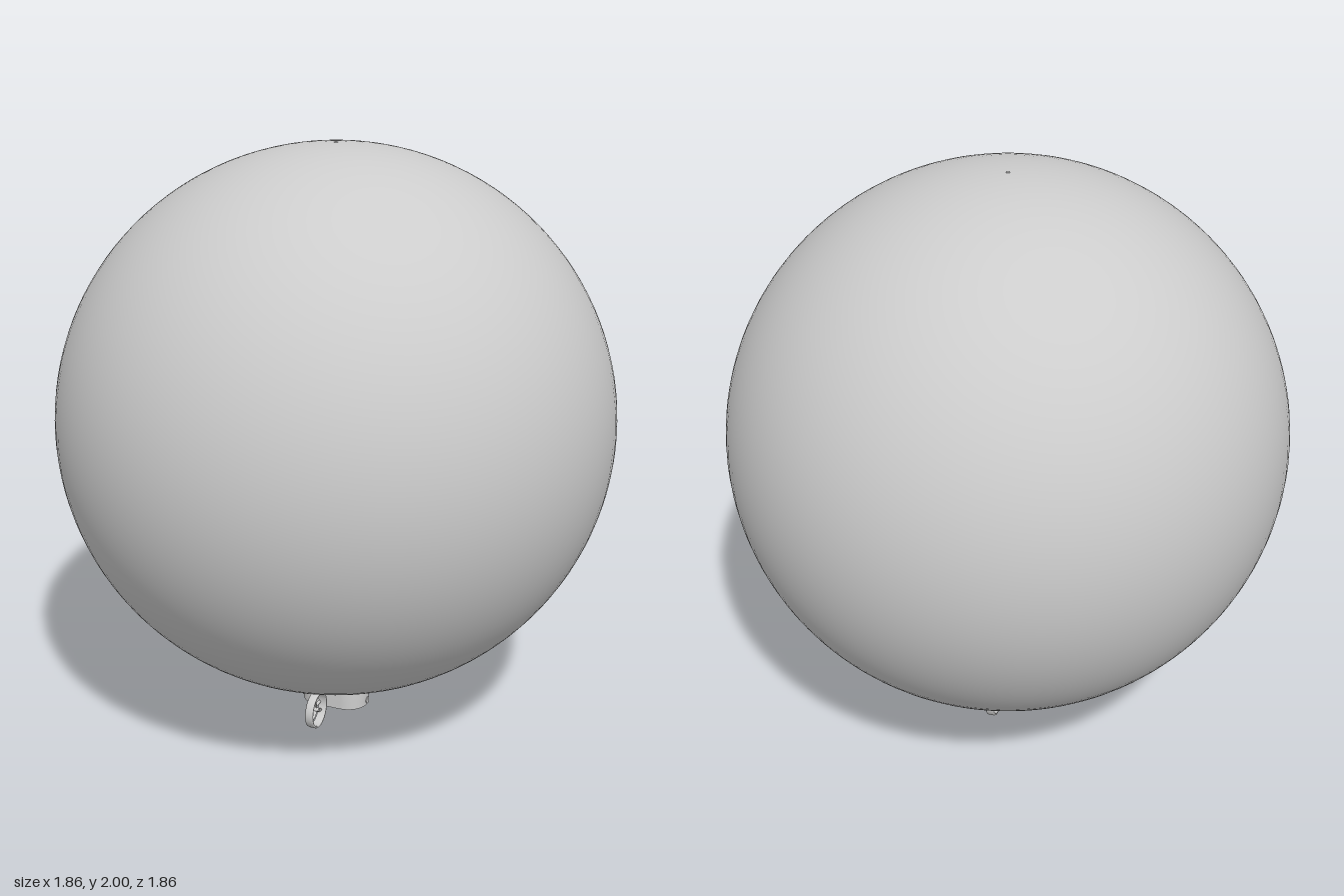
import * as THREE from 'three';

const shell = new THREE.MeshStandardMaterial({ color: 0xcccccc });
shell.name = 'pale grey';

function add(parent, name, geometry, x = 0, y = 0, z = 0) {
  const mesh = new THREE.Mesh(geometry, shell);
  mesh.name = name;
  mesh.position.set(x, y, z);
  parent.add(mesh);
  return mesh;
}

// Stadium outline lofted upward; each level is [inset, y], first and last are capped
function stadiumLoft(halfLength, radius, levels, arc = 20) {
  const pos = [], index = [], n = 2 * (arc + 1), straight = halfLength - radius;
  const ring = (inset, y) => {
    for (let i = 0; i < n; i++) {
      const end = i <= arc ? 1 : -1;
      const a = -Math.PI / 2 + Math.PI * (i - (end < 0 ? 1 : 0)) / arc;
      pos.push(end * straight + Math.cos(a) * (radius - inset), y, -Math.sin(a) * (radius - inset));
    }
  };
  levels.forEach(([inset, y]) => ring(inset, y));
  for (let r = 0; r < levels.length - 1; r++) {
    for (let i = 0; i < n; i++) {
      const a = r * n + i, b = r * n + (i + 1) % n;
      index.push(a, b, b + n, a, b + n, a + n);
    }
  }
  // Caps use their own vertices so the bottom edge stays sharp
  [[levels[0], false], [levels[levels.length - 1], true]].forEach(([level, up]) => {
    const start = pos.length / 3;
    ring(...level);
    for (let i = 1; i < n - 1; i++) {
      index.push(start, start + (up ? i : i + 1), start + (up ? i + 1 : i));
    }
  });
  const g = new THREE.BufferGeometry();
  g.setAttribute('position', new THREE.Float32BufferAttribute(pos, 3));
  g.setIndex(index);
  g.computeVertexNormals();
  return g;
}

// Pitched propeller blade lying along +x
function bladeGeometry() {
  const g = new THREE.BoxGeometry(0.042, 0.003, 0.017, 8, 1, 2);
  const p = g.attributes.position;
  for (let i = 0; i < p.count; i++) {
    const t = p.getX(i) / 0.042 + 0.5;
    const width = 0.4 + 0.6 * Math.sin(Math.PI * Math.min(1, 0.1 + t * 0.85));
    const pitch = 0.75 - 0.4 * t, y = p.getY(i), z = p.getZ(i) * width;
    p.setXYZ(i, 0.007 + t * 0.042,
      y * Math.cos(pitch) - z * Math.sin(pitch),
      y * Math.sin(pitch) + z * Math.cos(pitch));
  }
  g.computeVertexNormals();
  return g;
}

// Ducted fan blowing along local y, with its arm reaching along local x
function ductedFan(name, position, armDirection, axis) {
  const fan = new THREE.Group();
  fan.name = name;
  const duct = [[0.057, -0.014], [0.062, -0.014], [0.064, -0.009], [0.064, 0.012],
    [0.062, 0.015], [0.058, 0.015], [0.057, 0.012], [0.057, -0.014]];
  add(fan, 'duct', new THREE.LatheGeometry(duct.map(p => new THREE.Vector2(...p)), 48));
  add(fan, 'hub', new THREE.CylinderGeometry(0.006, 0.01, 0.016, 20), 0, 0.003, 0);
  add(fan, 'motor', new THREE.CylinderGeometry(0.011, 0.008, 0.026, 20), 0, -0.018, 0);
  const blade = bladeGeometry();
  for (let i = 0; i < 3; i++) {
    add(fan, 'blade', blade).rotation.y = Math.PI / 2 + i * Math.PI * 2 / 3;
  }
  const arm = add(fan, 'arm', new THREE.CylinderGeometry(0.0055, 0.0055, 0.115, 14), 0.0575, -0.012, 0);
  arm.rotation.z = Math.PI / 2;
  const x = new THREE.Vector3(...armDirection), y = new THREE.Vector3(...axis);
  const basis = new THREE.Matrix4().makeBasis(x, y, new THREE.Vector3().crossVectors(x, y));
  fan.quaternion.setFromRotationMatrix(basis);
  fan.position.set(...position);
  return fan;
}

export function createModel() {
  const model = new THREE.Group();
  model.name = 'balloonDrone';

  // Gas envelope with a filler nub on top and a mounting plate below
  add(model, 'envelope', new THREE.SphereGeometry(0.932, 96, 64), 0, 1.079, 0).scale.y = 0.986;
  add(model, 'topNub', new THREE.CylinderGeometry(0.006, 0.008, 0.006, 16), 0, 1.997, 0);
  add(model, 'mountingPlate', new THREE.CylinderGeometry(0.122, 0.116, 0.008, 48), 0, 0.165, 0);

  // Neck between plate and gondola
  const neck = [[0, 0.118], [0.024, 0.118], [0.024, 0.148], [0.029, 0.15], [0.029, 0.164], [0, 0.164]];
  add(model, 'neck', new THREE.LatheGeometry(neck.map(p => new THREE.Vector2(...p)), 32));

  // Gondola with a rounded roof
  const levels = [[0, 0.026], [0, 0.05]], round = 0.044;
  for (let i = 0; i <= 8; i++) {
    const a = i / 8 * Math.PI / 2;
    levels.push([round * (1 - Math.cos(a)), 0.081 + round * Math.sin(a)]);
  }
  add(model, 'gondola', stadiumLoft(0.12, 0.073, levels));

  // Camera on the nose and sensors beneath
  const eye = new THREE.CylinderGeometry(0.012, 0.012, 0.008, 24);
  add(model, 'noseCamera', eye, 0.119, 0.042, 0).rotation.z = Math.PI / 2;
  [-0.04, 0, 0.04].forEach(x =>
    add(model, 'bellySensor', new THREE.CylinderGeometry(0.012, 0.01, 0.005, 24), x, 0.0245, 0));

  // Two side fans push forward, the tail fan lifts
  [1, -1].forEach(s => model.add(
    ductedFan(s > 0 ? 'frontFan' : 'backFan', [-0.003, 0.064, s * 0.172], [0, 0, -s], [1, 0, 0])));
  model.add(ductedFan('tailFan', [-0.187, 0.07, 0], [1, 0, 0], [0, 1, 0]));

  return model;
}
